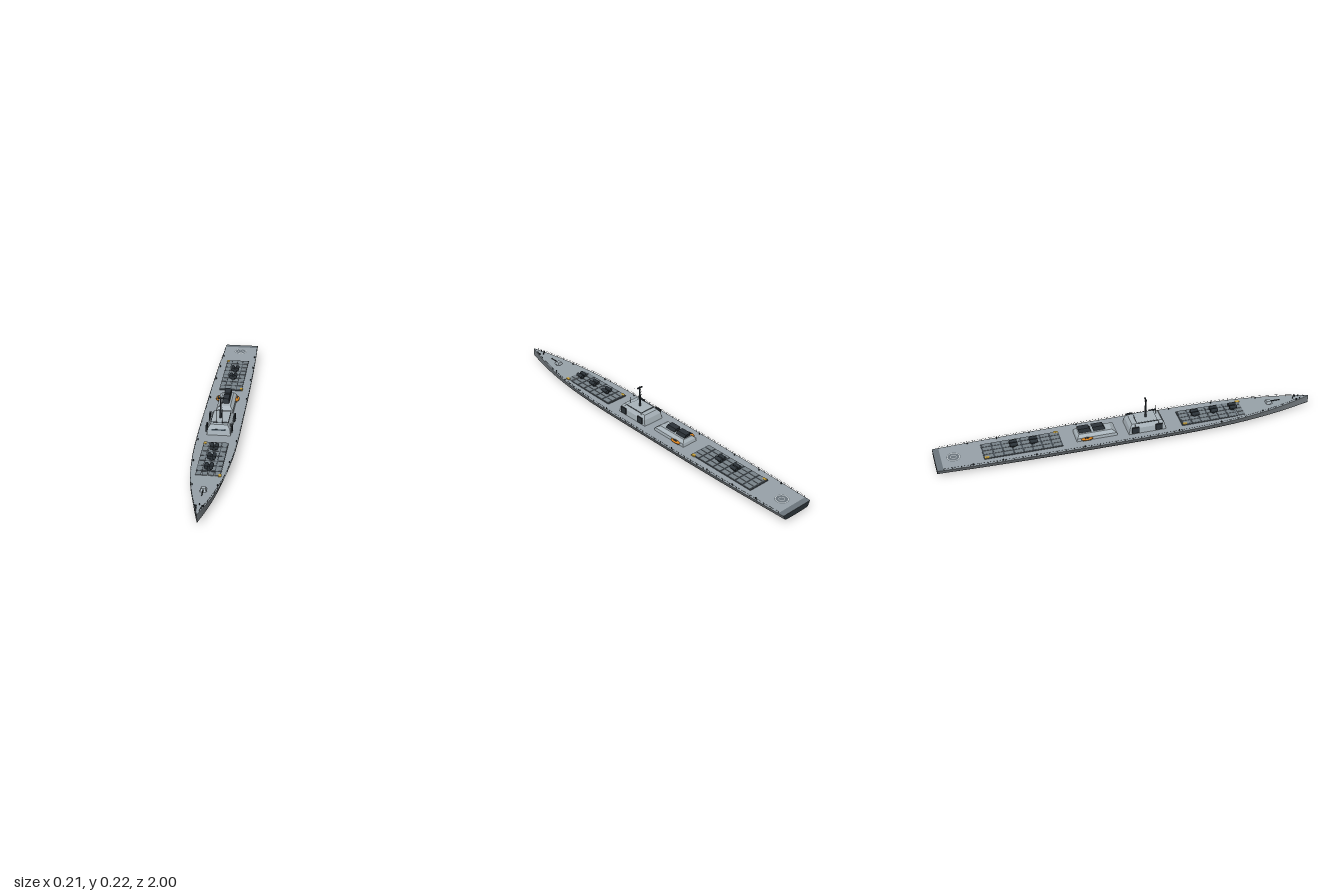
import * as THREE from 'three';

const paint = (color, side = THREE.FrontSide) => new THREE.MeshStandardMaterial({ color, side });
const M = {
  side: paint(0x7d8489), bottom: paint(0x1a1f23), deck: paint(0x98a2a9), house: paint(0xa9b4bb),
  dark: paint(0x2b3238), grid: paint(0x454d54), hatch: paint(0x79838a), strip: paint(0x6c767d),
  glass: paint(0x3a4852), orange: paint(0xd9821e), yellow: paint(0xc9a23a), ring: paint(0xc4cacd),
};

// Hull lines as functions of z
const beam = z => z > 0.1 ? 0.106 * (1 - ((z - 0.1) / 0.9) ** 2.8)
  : 0.106 - 0.014 * (Math.max(0, -z - 0.2) / 0.8) ** 2;
const deckY = z => 0.052 + 0.014 * (Math.max(0, z - 0.1) / 0.9) ** 2;
const keelY = z => 0.021 * (Math.max(0, Math.abs(z) - 0.3) / 0.7) ** 2;
const WL = 0.025;

// Half section below the waterline, from waterline to keel
function bilge(z) {
  const b = beam(z), k = keelY(z), h = WL - k, pts = [];
  for (let i = 0; i <= 6; i++) {
    const a = (i / 6) * Math.PI / 2;
    pts.push([0.85 * b * Math.cos(a) ** 0.8, WL - h * Math.sin(a) ** 1.1]);
  }
  pts[6] = [0, k];
  return pts;
}

// Skin over cross-sections running from bow to stern
function loft(section, z0 = 1, z1 = -1, n = 70) {
  const pos = [], idx = [];
  let w = 0;
  for (let i = 0; i <= n; i++) {
    const z = z0 + (z1 - z0) * i / n, pts = section(z);
    w = pts.length;
    pts.forEach(([x, y]) => pos.push(x, y, z));
  }
  for (let i = 0; i < n; i++) for (let j = 0; j < w - 1; j++) {
    const a = i * w + j, c = a + w;
    idx.push(a, a + 1, c, a + 1, c + 1, c);
  }
  const g = new THREE.BufferGeometry();
  g.setAttribute('position', new THREE.Float32BufferAttribute(pos, 3));
  g.setIndex(idx);
  g.computeVertexNormals();
  return g;
}

// Box whose top is scaled and shifted, standing on its base
function taper(w, h, d, tw, td, shift = 0) {
  const g = new THREE.BoxGeometry(w, h, d), p = g.attributes.position;
  for (let i = 0; i < p.count; i++) if (p.getY(i) > 0)
    p.setXYZ(i, p.getX(i) * tw / w, p.getY(i), p.getZ(i) * td / d + shift);
  g.translate(0, h / 2, 0);
  g.computeVertexNormals();
  return g;
}

export function createModel() {
  const ship = new THREE.Group();
  ship.name = 'warship';
  const add = (name, geo, mat, x = 0, y = 0, z = 0, parent = ship) => {
    const m = new THREE.Mesh(geo, mat);
    m.name = name;
    m.position.set(x, y, z);
    parent.add(m);
    return m;
  };
  const box = (name, w, h, d, mat, x, y, z, parent) =>
    add(name, new THREE.BoxGeometry(w, h, d), mat, x, y, z, parent);
  const post = (name, r, h, mat, x, y, z, parent, r2 = r) =>
    add(name, new THREE.CylinderGeometry(r2, r, h, 8), mat, x, y + h / 2, z, parent);
  const group = name => {
    const g = new THREE.Group();
    g.name = name;
    ship.add(g);
    return g;
  };

  // Hull
  add('lowerHull', loft(z => {
    const h = bilge(z);
    return [...h, ...h.slice(0, 6).reverse().map(([x, y]) => [-x, y])];
  }), M.bottom);
  add('leftHullSide', loft(z => [[beam(z), deckY(z)], [0.85 * beam(z), WL]]), M.side);
  add('rightHullSide', loft(z => [[-0.85 * beam(z), WL], [-beam(z), deckY(z)]]), M.side);
  add('deck', loft(z => [[-beam(z), deckY(z)], [beam(z), deckY(z)]], 1, -0.968), M.deck);
  add('sternDeckStrip', loft(z => [[-beam(z), deckY(z)], [beam(z), deckY(z)]], -0.968, -1, 2), M.strip);
  const half = [[beam(-1), deckY(-1)], ...bilge(-1)];
  const outline = [...half, ...half.slice(0, -1).reverse().map(([x, y]) => [-x, y])];
  const transom = new THREE.ShapeGeometry(new THREE.Shape(outline.map(p => new THREE.Vector2(...p))));
  add('transom', transom.rotateY(Math.PI), M.dark, 0, 0, -1);

  // Deck edge railings
  const rails = group('railings');
  for (const s of [-1, 1]) {
    const path = [];
    for (let i = 0; i <= 44; i++) {
      const z = 0.97 - i * 0.044, x = s * (beam(z) - 0.002);
      post('stanchion', 0.0011, 0.009, M.dark, x, deckY(z), z, rails);
      path.push(new THREE.Vector3(x, deckY(z) + 0.009, z));
    }
    add('handrail', new THREE.TubeGeometry(new THREE.CatmullRomCurve3(path), 88, 0.0005, 4), M.dark, 0, 0, 0, rails);
    for (const z of [0.72, 0.48, 0.25, -0.25, -0.5, -0.67, -0.82])
      post('bollard', 0.003, 0.008, M.dark, s * (beam(z) - 0.009), deckY(z), z, rails);
  }

  // Missile cell fields with hatch grids
  function cellField(name, z0, rows, baseRows) {
    const g = group(name), pitch = 0.05;
    const len = baseRows * pitch;
    const y = deckY(z0 + len / 2);
    box('gridPlate', 0.122, 0.008, len + 0.005, M.grid, 0, y, z0 + len / 2, g);
    for (let r = 0; r < rows; r++) for (let c = 0; c < 4; c++)
      box('hatch', 0.026, 0.01, r < baseRows ? 0.042 : 0.034, M.hatch,
        (c - 1.5) * 0.0305, y + 0.0008, z0 + (r + 0.5) * pitch, g);
    for (const [x, z] of [[-0.054, z0 + 0.013], [0.058, z0 + rows * pitch - 0.012]])
      box('warningPlate', 0.014, 0.011, 0.022, M.yellow, x, y + 0.001, z, g);
  }
  cellField('forwardCells', 0.28, 7, 6);
  cellField('aftCells', -0.757, 8, 8);

  // Twin-barrel launchers
  for (const z of [0.57, 0.465, 0.362, -0.497, -0.6]) {
    const g = group('launcher');
    const y = deckY(z);
    post('pedestal', 0.011, 0.018, M.dark, 0, y, z, g);
    box('cradle', 0.03, 0.014, 0.028, M.dark, 0, y + 0.021, z, g);
    for (const x of [-0.0125, 0.0125]) {
      const tube = new THREE.CylinderGeometry(0.0095, 0.0095, 0.04, 12).rotateX(Math.PI / 2);
      add('launchTube', tube, M.dark, x, y + 0.026, z, g);
    }
  }

  // Forward superstructure
  const bridge = group('bridge');
  add('bridgeBase', taper(0.12, 0.033, 0.2, 0.114, 0.186), M.house, 0, 0.05, 0.09, bridge);
  add('bridgeTop', taper(0.114, 0.02, 0.186, 0.086, 0.16), M.house, 0, 0.083, 0.09, bridge);
  box('roofRim', 0.09, 0.002, 0.112, M.dark, 0, 0.1035, 0.092, bridge);
  box('roofPlate', 0.084, 0.003, 0.106, M.house, 0, 0.104, 0.092, bridge);
  box('frontWindows', 0.07, 0.007, 0.003, M.glass, 0, 0.079, 0.183, bridge);
  for (const s of [-1, 1]) for (const z of [0.025, 0.15]) {
    box('sensorPanel', 0.007, 0.034, 0.036, M.dark, s * 0.064, 0.077, z, bridge);
    add('roofLamp', new THREE.SphereGeometry(0.002, 8, 6), M.dark, s * 0.055, 0.104, z, bridge);
    post('lampPost', 0.0008, 0.02, M.dark, s * 0.055, 0.083, z, bridge);
  }

  // Mast with yards, radar bar and whip antennas
  const mast = group('mast');
  post('mastPole', 0.006, 0.104, M.dark, 0, 0.103, 0.095, mast, 0.0035);
  add('mastHead', new THREE.SphereGeometry(0.005, 10, 8), M.dark, 0, 0.203, 0.095, mast);
  post('mastTip', 0.002, 0.016, M.dark, 0, 0.205, 0.095, mast);
  box('radarBar', 0.032, 0.006, 0.007, M.dark, 0, 0.213, 0.095, mast);
  [[0.148, 0.03], [0.165, 0.024], [0.184, 0.018]].forEach(([y, w]) =>
    box('yard', w, 0.0016, 0.0016, M.dark, 0, y, 0.095, mast));
  post('leftWhip', 0.0007, 0.08, M.dark, 0.015, 0.103, 0.155, mast);
  post('rightWhip', 0.0007, 0.072, M.dark, -0.015, 0.103, 0.155, mast);

  // Aft superstructure with funnels and boats
  const aft = group('aftHouse');
  add('aftBase', taper(0.092, 0.018, 0.216, 0.088, 0.208), M.house, 0, 0.05, -0.173, aft);
  add('aftTop', taper(0.088, 0.015, 0.208, 0.056, 0.172, -0.006), M.house, 0, 0.068, -0.173, aft);
  for (const z of [-0.158, -0.232])
    add('funnel', taper(0.038, 0.024, 0.062, 0.032, 0.06, -0.01), M.dark, 0, 0.081, z + 0.004, aft);
  for (const s of [-1, 1]) {
    const boat = add('lifeboat', new THREE.SphereGeometry(1, 16, 10), M.orange, s * 0.05, 0.064, -0.228, aft);
    boat.scale.set(0.012, 0.007, 0.032);
    box('boatCover', 0.008, 0.004, 0.024, M.dark, s * 0.051, 0.07, -0.228, aft);
    for (const dz of [-0.018, 0.018])
      box('davit', 0.003, 0.014, 0.003, M.dark, s * 0.05, 0.057, -0.228 + dz, aft);
  }

  // Bow gun
  const gun = group('bowGun'), gy = deckY(0.775);
  post('gunRing', 0.018, 0.003, M.strip, 0, gy, 0.775, gun);
  add('gunTurret', taper(0.03, 0.014, 0.034, 0.02, 0.022, -0.003), M.house, 0, gy + 0.002, 0.775, gun);
  add('gunBarrel', new THREE.CylinderGeometry(0.002, 0.0028, 0.05, 8).rotateX(Math.PI / 2), M.dark,
    0, gy + 0.01, 0.81, gun);

  // Foredeck fittings
  const fore = group('foredeckFittings');
  for (const s of [-1, 1]) {
    post('capstan', 0.005, 0.007, M.dark, s * 0.016, deckY(0.925), 0.925, fore);
    post('bitt', 0.003, 0.007, M.dark, s * 0.012, deckY(0.945), 0.945, fore);
  }
  post('jackstaff', 0.003, 0.008, M.dark, 0, deckY(0.91), 0.91, fore);

  // Landing circle on the stern
  const pad = group('landingPad');
  const flat = (name, a, b, mat, y) =>
    add(name, new THREE.RingGeometry(a, b, 40).rotateX(-Math.PI / 2), mat, 0, y, -0.905, pad);
  flat('padDisc', 0, 0.036, M.strip, 0.0528);
  flat('outerRing', 0.029, 0.033, M.ring, 0.0534);
  flat('innerRing', 0.013, 0.016, M.ring, 0.0534);
  return ship;
}
